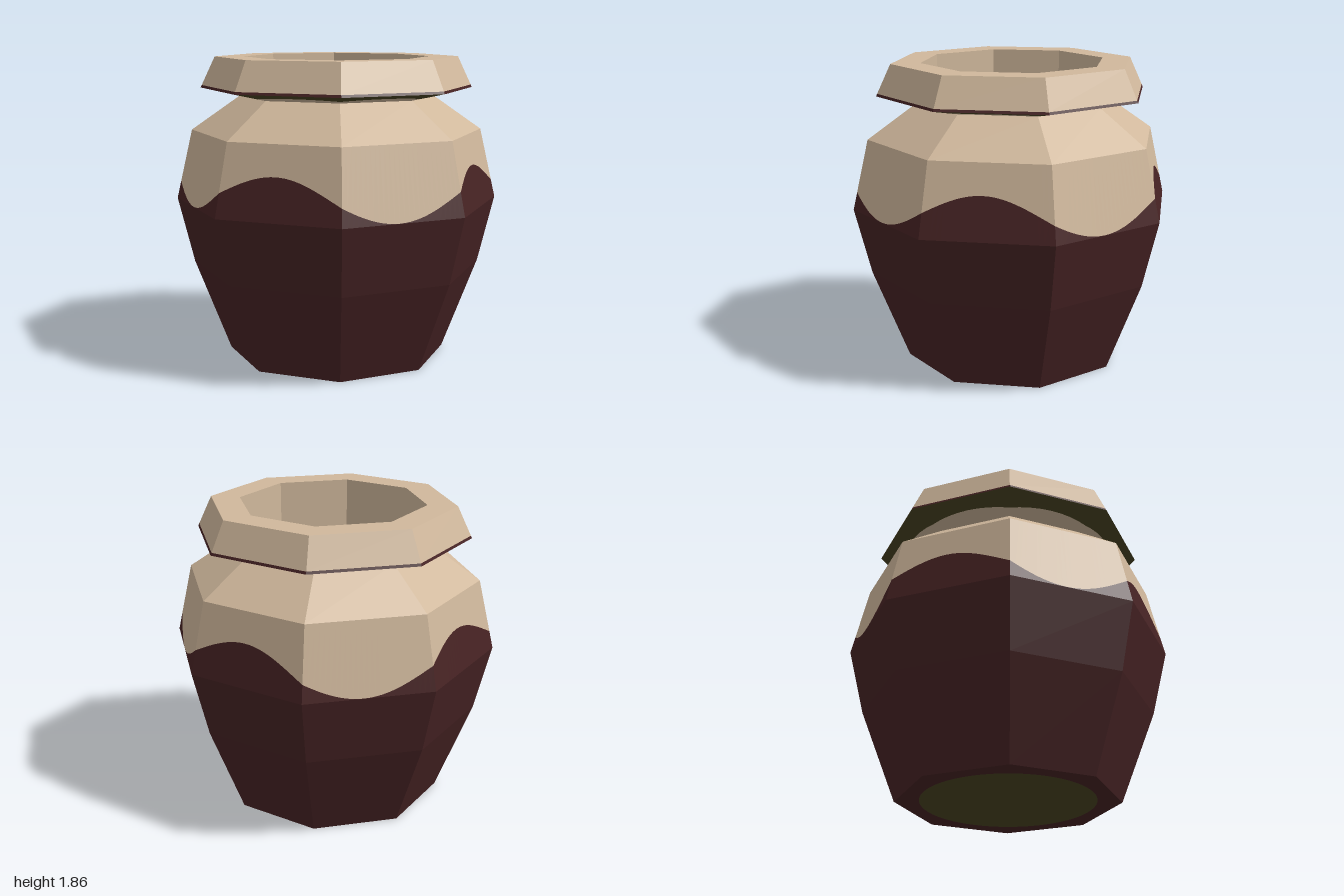
import * as THREE from 'three';

const SIDES = 8;

// Point on an eight-sided ring: u runs 0..8 around, starting at +z and turning to +x
function ringPoint(u, [radius, y]) {
  const k = Math.floor(u), t = u - k;
  const a = (k / SIDES) * Math.PI * 2, b = ((k + 1) / SIDES) * Math.PI * 2;
  const x = THREE.MathUtils.lerp(Math.sin(a), Math.sin(b), t);
  const z = THREE.MathUtils.lerp(Math.cos(a), Math.cos(b), t);
  return [x * radius, y, z * radius];
}

// Faceted band between two edges; an edge is [radius, y] or a function of u
function band(lo, hi, cols = 1) {
  const at = (edge, u) => ringPoint(u, typeof edge === 'function' ? edge(u) : edge);
  const pos = [];
  for (let i = 0; i < SIDES * cols; i++) {
    const u0 = i / cols, u1 = (i + 1) / cols;
    const a = at(lo, u0), b = at(lo, u1), c = at(hi, u1), d = at(hi, u0);
    pos.push(...a, ...b, ...c, ...a, ...c, ...d);
  }
  const geo = new THREE.BufferGeometry();
  geo.setAttribute('position', new THREE.Float32BufferAttribute(pos, 3));
  geo.computeVertexNormals();
  return geo;
}

// Edge that follows a true circle across the flat facets
function circleEdge(radius, yOf) {
  return (u) => {
    const [x, , z] = ringPoint(u, [1, 0]);
    const r = radius / Math.hypot(x, z);
    return [r, yOf(r)];
  };
}

export function createModel() {
  const material = (name, color) => {
    const m = new THREE.MeshStandardMaterial({ color, flatShading: true });
    m.name = name;
    return m;
  };
  const cream = material('cream clay', 0xd0b89c);
  const maroon = material('maroon glaze', 0x472324);
  const olive = material('dark olive', 0x4a4522);
  const black = material('black interior', 0x0e0e0e);

  const pot = new THREE.Group();
  pot.name = 'pot';
  const add = (name, mat, lo, hi, cols) => {
    const mesh = new THREE.Mesh(band(lo, hi, cols), mat);
    mesh.name = name;
    pot.add(mesh);
  };

  // Base with a round patch
  const basePatch = circleEdge(0.53, () => 0);
  add('basePatch', olive, [0, 0], basePatch, 8);
  add('baseRing', maroon, basePatch, [0.68, 0], 8);

  // Glazed lower body
  add('lowerBody', maroon, [0.68, 0], [0.9, 0.57]);
  add('middleBody', maroon, [0.9, 0.57], [1, 0.98]);

  // Upper belly, divided by the wavy glaze line
  const wave = (u) => {
    const y = 1.106 + 0.125 * Math.sin(Math.PI * u + 0.15);
    return [THREE.MathUtils.mapLinear(y, 0.98, 1.41, 1, 0.9), y];
  };
  add('glazeWave', maroon, [1, 0.98], wave, 24);
  add('upperBelly', cream, wave, [0.9, 1.41], 24);
  add('shoulder', cream, [0.9, 1.41], [0.6, 1.62]);

  // Underside of the rim, two colours meeting on a circle
  const underEdge = circleEdge(0.67, (r) => THREE.MathUtils.mapLinear(r, 0.6, 0.84, 1.62, 1.67));
  add('rimUndersideInner', cream, [0.6, 1.62], underEdge, 8);
  add('rimUndersideOuter', olive, underEdge, [0.84, 1.67], 8);

  // Rim
  add('rimStripe', maroon, [0.84, 1.67], [0.833, 1.685]);
  add('rimSide', cream, [0.833, 1.685], [0.75, 1.86]);
  add('rimTop', cream, [0.75, 1.86], [0.57, 1.86]);

  // Hollow inside
  add('innerNeck', cream, [0.57, 1.86], [0.57, 1.49]);
  add('innerWall', cream, [0.57, 1.49], [0.8, 0.98]);
  add('innerFloor', black, [0.8, 0.98], [0, 0.98]);

  return pot;
}
